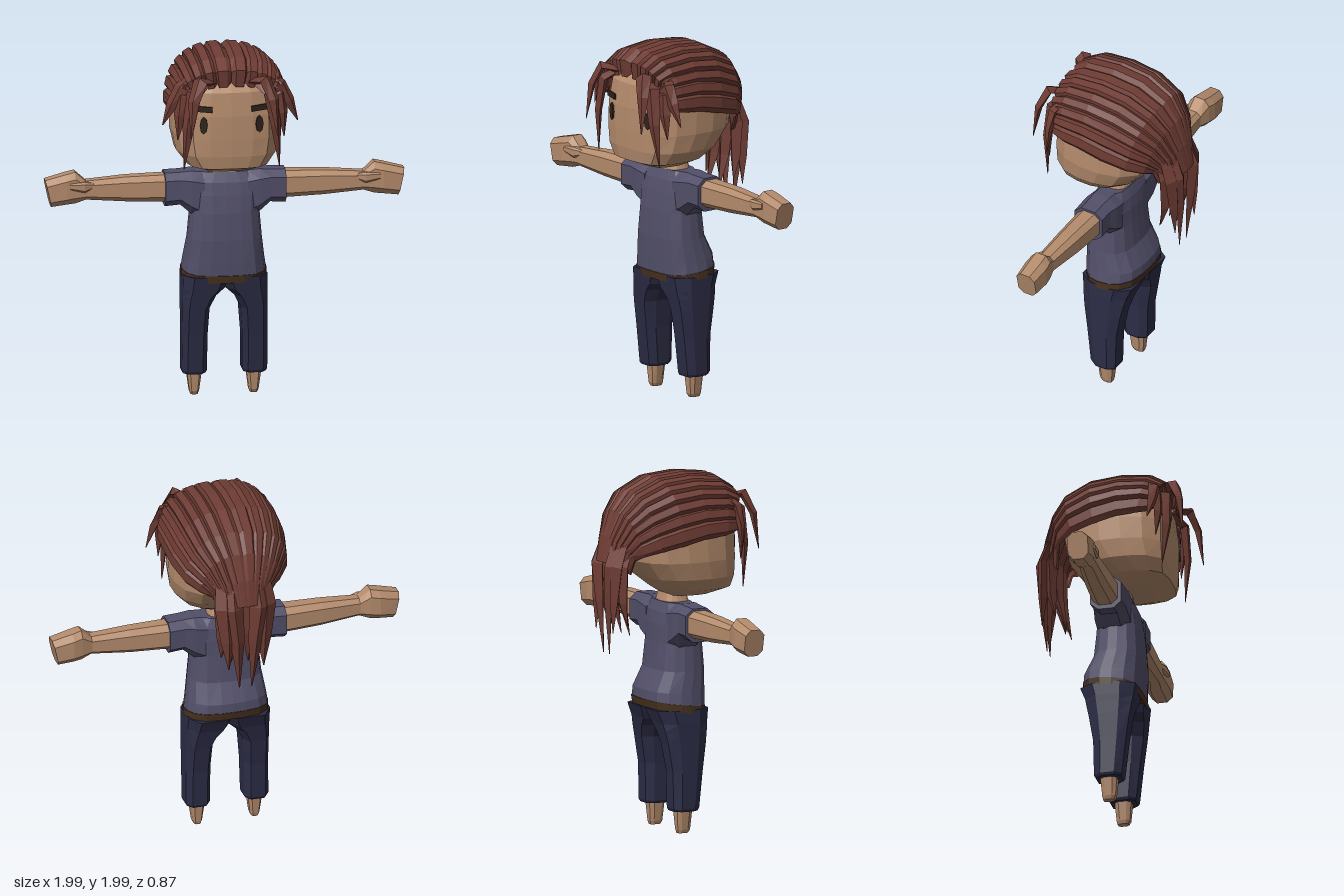
import * as THREE from 'three';

const mat = (name, color, side = THREE.FrontSide) => {
  const m = new THREE.MeshStandardMaterial({ color, side });
  m.name = name;
  return m;
};

// Faceted mesh from triangles given as corner triples
function facets(name, tris, material) {
  const g = new THREE.BufferGeometry();
  g.setAttribute('position', new THREE.Float32BufferAttribute(tris.flat(2), 3));
  g.computeVertexNormals();
  const mesh = new THREE.Mesh(g, material);
  mesh.name = name;
  return mesh;
}

// Closed solid through rings of equal point count, turned outward by its volume
function loft(name, rings, material) {
  const tris = [], n = rings[0].length;
  const mid = r => [0, 1, 2].map(k => r.reduce((a, p) => a + p[k], 0) / n);
  for (let i = 0; i < rings.length - 1; i++)
    for (let j = 0; j < n; j++) {
      const k = (j + 1) % n, a = rings[i], b = rings[i + 1];
      tris.push([a[j], a[k], b[k]], [a[j], b[k], b[j]]);
    }
  const first = rings[0], last = rings[rings.length - 1], c0 = mid(first), c1 = mid(last);
  for (let j = 0; j < n; j++) {
    const k = (j + 1) % n;
    tris.push([c0, first[k], first[j]], [c1, last[j], last[k]]);
  }
  let vol = 0;
  for (const [a, b, c] of tris)
    vol += a[0] * (b[1] * c[2] - b[2] * c[1]) + a[1] * (b[2] * c[0] - b[0] * c[2]) + a[2] * (b[0] * c[1] - b[1] * c[0]);
  return facets(name, vol < 0 ? tris.map(([a, b, c]) => [a, c, b]) : tris, material);
}

// Rounded, symmetric horizontal ring: [y, halfWidth, zFront, zBack, tilt]
const HALF = [[0, 1], [0.4, 0.98], [0.7, 0.9], [0.92, 0.6], [1, 0.2], [1, -0.2], [0.9, -0.6], [0.65, -0.88], [0.3, -0.98], [0, -1]];
const RING = [...HALF, ...HALF.slice(1, -1).reverse().map(([x, z]) => [-x, z])];
const bodyRing = ([y, w, zf, zb, tilt = 0]) => RING.map(([x, z]) => {
  const pz = (zf + zb) / 2 + z * (zf - zb) / 2;
  return [x * w, y - pz * tilt, pz];
});

// Chamfered box outline between two ranges
const OCT = [[1, 0.5], [0.6, 1], [-0.6, 1], [-1, 0.5], [-1, -0.5], [-0.6, -1], [0.6, -1], [1, -0.5]];
const octagon = (a0, a1, b0, b1) => OCT.map(([a, b]) => [(a0 + a1) / 2 + a * (a1 - a0) / 2, (b0 + b1) / 2 + b * (b1 - b0) / 2]);
// Limb sections: along y [y, x0, x1, z0, z1] and along x [x, y0, y1, z0, z1, slant]
const legRing = s => ([y, ...r]) => octagon(...r).map(([x, z]) => [s * x, y, z]);
const armRing = s => ([x, y0, y1, z0, z1, slant = 0]) =>
  octagon(y0, y1, z0, z1).map(([y, z]) => [s * (x + slant * (y - (y0 + y1) / 2)), y, z]);

// Pointed hair lock with a diamond section along a path
function lock(name, path, widths, depth, sideDir, material) {
  const pts = path.map(p => new THREE.Vector3(...p)), last = pts.length - 1;
  const rings = pts.map((p, i) => {
    const t = pts[Math.min(i + 1, last)].clone().sub(pts[Math.max(i - 1, 0)]).normalize();
    const nrm = t.clone().cross(new THREE.Vector3(...sideDir)).normalize();
    const side = nrm.clone().cross(t);
    return [[1, 0], [0, 1], [-1, 0], [0, -1]].map(([a, b]) =>
      p.clone().addScaledVector(side, a * widths[i]).addScaledVector(nrm, b * widths[i] * depth).toArray());
  });
  return loft(name, rings, material);
}

// Swept-back hair cap, grooved into strands from the hairline to the tail
function hairCap(material) {
  // [top z, top y, side z, side y, half width]
  const arcs = [
    [0.325, 1.83, 0.27, 1.69, 0.27], [0.335, 1.91, 0.27, 1.67, 0.305], [0.25, 1.965, 0.2, 1.66, 0.325],
    [0.08, 1.985, 0.08, 1.65, 0.33], [-0.1, 1.97, -0.05, 1.62, 0.325], [-0.25, 1.9, -0.18, 1.59, 0.295],
    [-0.33, 1.8, -0.26, 1.56, 0.23], [-0.385, 1.66, -0.28, 1.53, 0.165], [-0.42, 1.52, -0.29, 1.45, 0.13],
  ];
  const strands = 14, cols = [];
  for (let i = 0; i < strands; i++) cols.push([i, 0.95], [i + 0.2, 1.01], [i + 0.8, 1.01]);
  cols.push([strands, 0.95]);
  const grid = arcs.map(([zt, yt, zs, ys, w], row) => cols.map(([u, r]) => {
    const phi = (u / strands - 0.5) * Math.PI, s = Math.sin(phi);
    const x = Math.sign(s) * Math.abs(s) ** 0.8 * w * r;
    const f = Math.max(0, Math.cos(phi)) ** 0.8;
    const dip = row === 0 ? (r - 0.98) * 0.5 : 0;
    return [x, ys + (yt - ys) * f * r - dip, zs + (zt - zs) * f - (1 - r) * (row < 2 ? 0.3 : 0)];
  }));
  const tris = [];
  for (let i = 0; i < grid.length - 1; i++)
    for (let j = 0; j < cols.length - 1; j++) {
      const a = grid[i][j], b = grid[i][j + 1], c = grid[i + 1][j + 1], d = grid[i + 1][j];
      tris.push([a, b, c], [a, c, d]);
    }
  return facets('hairCap', tris, material);
}

export function createModel() {
  const skin = mat('skin', 0xb48b6c), hair = mat('hair', 0x6e3c34, THREE.DoubleSide);
  const shirt = mat('shirt', 0x524f69), trousers = mat('trousers', 0x2c2c46);
  const belt = mat('belt', 0x48321f), dark = mat('eyes', 0x2e221b);
  const root = new THREE.Group();
  root.name = 'figure';
  const add = (...m) => root.add(...m);

  // Head and neck
  add(loft('head', [
    [1.31, 0.13, 0.22, -0.02], [1.35, 0.225, 0.325, -0.08], [1.42, 0.28, 0.335, -0.17], [1.52, 0.3, 0.337, -0.25],
    [1.65, 0.298, 0.335, -0.27], [1.78, 0.275, 0.32, -0.26], [1.88, 0.19, 0.25, -0.19],
  ].map(bodyRing), skin));
  add(loft('neck', [[1.2, 0.1, 0.105, -0.06], [1.275, 0.1, 0.1, -0.05], [1.36, 0.07, 0.08, -0.03]].map(bodyRing), skin));

  // Shirt body and belt
  add(loft('shirtBody', [
    [0.715, 0.232, 0.16, -0.163, 0.12], [0.78, 0.222, 0.163, -0.16, 0.06], [0.9, 0.205, 0.165, -0.105], [1.05, 0.192, 0.155, -0.09],
    [1.15, 0.2, 0.14, -0.085], [1.22, 0.2, 0.125, -0.075], [1.275, 0.15, 0.1, -0.055],
  ].map(bodyRing), shirt));
  add(loft('belt', [[0.675, 0.236, 0.158, -0.158, 0.12], [0.718, 0.235, 0.164, -0.167, 0.12]].map(bodyRing), belt));

  add(hairCap(hair));

  for (const s of [1, -1]) {
    const side = s > 0 ? 'left' : 'right';
    // Sleeve, arm, hand
    const ar = armRing(s), lr = legRing(s);
    add(loft(side + 'Sleeve', [
      [0.12, 1.0, 1.275, -0.07, 0.125], [0.19, 1.04, 1.28, -0.07, 0.125],
      [0.25, 1.092, 1.275, -0.062, 0.118], [0.335, 1.085, 1.272, -0.062, 0.115],
    ].map(ar), shirt));
    add(loft(side + 'Arm', [
      [0.3, 1.108, 1.26, -0.05, 0.095], [0.55, 1.117, 1.255, -0.037, 0.088], [0.77, 1.135, 1.24, -0.018, 0.082],
      [0.83, 1.115, 1.292, -0.035, 0.085], [0.88, 1.11, 1.28, -0.042, 0.09], [0.98, 1.1, 1.25, -0.03, 0.085, 0.22],
    ].map(ar), skin));
    add(loft(side + 'Thumb', [
      [0.73, 1.2, 1.23, 0.05, 0.08], [0.78, 1.18, 1.24, 0.05, 0.098], [0.86, 1.2, 1.235, 0.06, 0.095],
    ].map(ar), skin));

    // Trouser leg and foot
    add(loft(side + 'TrouserLeg', [
      [0.125, 0.105, 0.23, -0.062, 0.08], [0.14, 0.098, 0.237, -0.07, 0.087], [0.35, 0.096, 0.236, -0.075, 0.11],
      [0.5, 0.086, 0.236, -0.1, 0.13], [0.57, 0.05, 0.235, -0.115, 0.14], [0.615, 0, 0.235, -0.125, 0.147],
      [0.69, -0.03, 0.233, -0.155, 0.157],
    ].map(lr), trousers));
    add(loft(side + 'Foot', [
      [0, 0.145, 0.185, -0.025, 0.035], [0.02, 0.138, 0.192, -0.03, 0.045], [0.14, 0.122, 0.208, -0.04, 0.055],
    ].map(lr), skin));

    // Eye and eyebrow plates
    const eye = new THREE.Mesh(new THREE.CylinderGeometry(0.022, 0.022, 0.009, 8), dark);
    eye.geometry.rotateX(Math.PI / 2).scale(1, 2.2, 1);
    eye.position.set(s * 0.155, 1.602, 0.327);
    const brow = new THREE.Mesh(new THREE.BoxGeometry(0.095, 0.032, 0.009), dark);
    brow.position.set(s * 0.155, 1.695, 0.329);
    brow.rotation.z = s * 0.06;
    eye.name = side + 'Eye';
    brow.name = side + 'Eyebrow';
    eye.rotation.y = brow.rotation.y = s * 0.26;
    add(eye, brow);

    // Face-framing locks
    const fringe = [
      [[0.11, 1.84, 0.31], [0.18, 1.865, 0.375], [0.222, 1.76, 0.415], [0.24, 1.56, 0.44]],
      [[0.13, 1.84, 0.29], [0.21, 1.79, 0.34], [0.243, 1.6, 0.35], [0.265, 1.36, 0.33]],
      [[0.18, 1.88, 0.24], [0.275, 1.81, 0.29], [0.325, 1.72, 0.285], [0.375, 1.6, 0.27]],
      [[0.2, 1.82, 0.25], [0.27, 1.76, 0.3], [0.285, 1.66, 0.31], [0.295, 1.52, 0.3]],
    ];
    for (const path of fringe)
      add(lock(side + 'FringeLock', path.map(([x, y, z]) => [s * x, y, z]), [0.03, 0.045, 0.034, 0.003], 0.6, [1, 0, 0.5 * -s], hair));

    // Ponytail locks: [x, z, tip x, tip y, tip z]
    for (const [x, z, tx, ty, tz] of [
      [0.07, -0.395, 0.035, 1.005, -0.378], [0.105, -0.375, 0.1, 1.13, -0.39],
      [0.1, -0.335, 0.12, 1.17, -0.31], [0.04, -0.32, 0.05, 1.1, -0.26],
    ])
      add(lock(side + 'TailLock', [
        [s * x, 1.64, z + 0.05], [s * x * 1.1, 1.5, z], [s * (x + tx) / 2, 1.3, (z * 2 + tz) / 3 - 0.005], [s * tx, ty, tz],
      ], [0.05, 0.06, 0.042, 0.003], 0.6, [1, 0, 0], hair));
  }
  return root;
}
